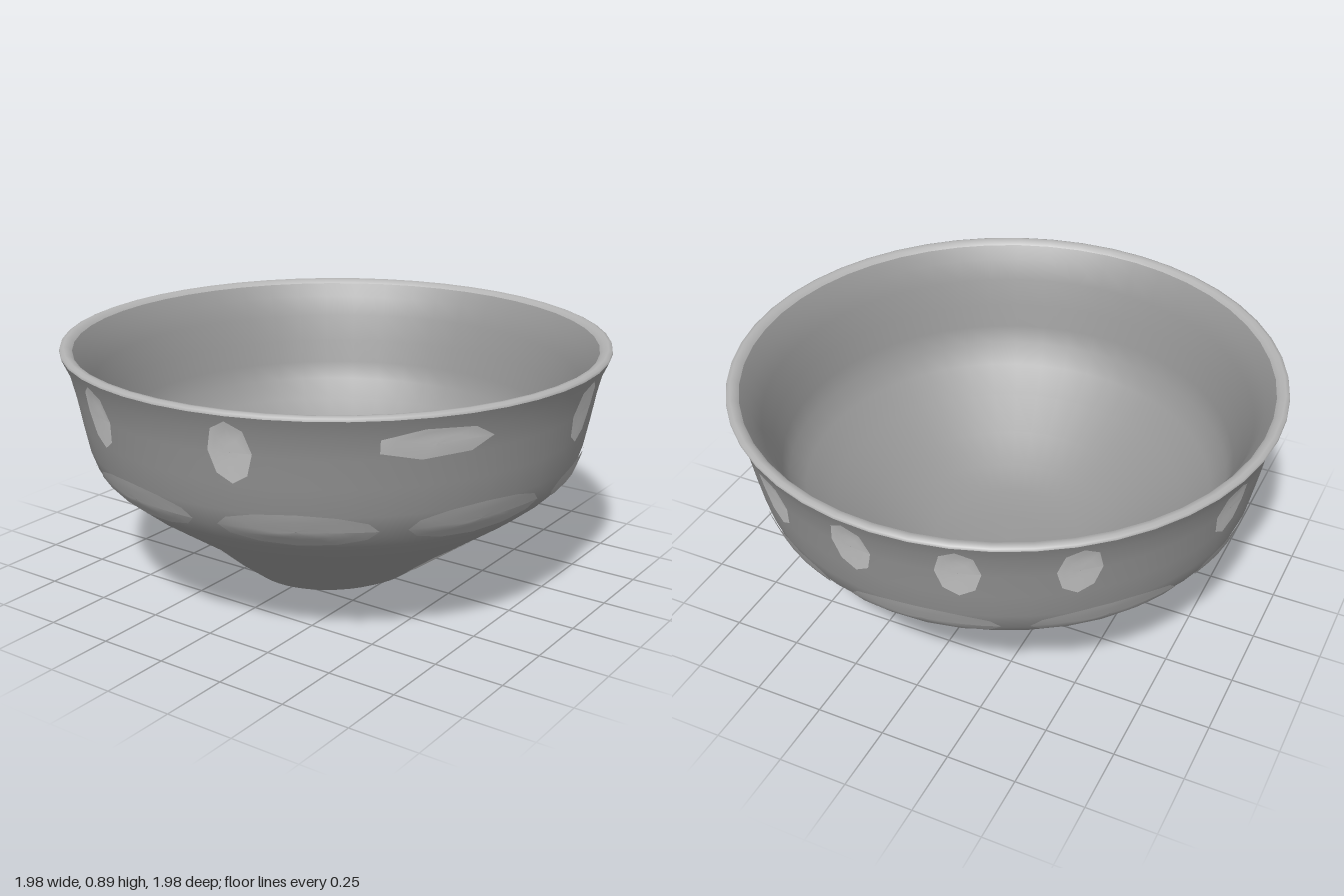
import * as THREE from 'three';

const SEGMENTS = 48;
const DEG = Math.PI / 180;

// Sloping belly turning into a slightly flared wall, as [radius, height]
const OUTER = [
  [0.31, 0.03], [0.4, 0.097], [0.52, 0.185], [0.64, 0.268], [0.75, 0.345], [0.83, 0.41],
  [0.88, 0.47], [0.905, 0.54], [0.925, 0.64], [0.943, 0.74], [0.962, 0.82], [0.99, 0.882],
];

// Turns a profile around the y axis; its right-hand side faces out.
function turned(name, profile, color, deform) {
  const points = profile.map(([r, y]) => new THREE.Vector2(r, y));
  const geometry = new THREE.LatheGeometry(points, SEGMENTS);
  if (deform) {
    const p = geometry.attributes.position;
    for (let i = 0; i < p.count; i++) p.setY(i, deform(p.getX(i), p.getY(i), p.getZ(i)));
  }
  const mesh = new THREE.Mesh(geometry, new THREE.MeshStandardMaterial({ color }));
  mesh.name = name;
  return mesh;
}

// The worn foot dips to the ground at its back right edge.
function dipFoot(x, y, z) {
  const distance = Math.hypot(x + 0.2, z + 0.23);
  return y < 0.1 ? y - 0.03 * Math.max(0, 1 - distance / 0.5) : y;
}

// Radius of the outside at a given height
function outerRadius(y) {
  const i = Math.max(1, OUTER.findIndex((point) => point[1] >= y));
  const [r0, y0] = OUTER[i - 1];
  const [r1, y1] = OUTER[i];
  return r0 + (r1 - r0) * (y - y0) / (y1 - y0);
}

// A thin chipped patch wrapped onto the outside; angle 0 faces the front.
function patch(name, angle, y, halfAngle, halfHeight, sides, color) {
  const geometry = new THREE.RingGeometry(0.01, 1, sides, 4);
  const p = geometry.attributes.position;
  for (let i = 0; i < p.count; i++) {
    const a = (angle + p.getX(i) * halfAngle) * DEG;
    const h = y + p.getY(i) * halfHeight;
    const r = outerRadius(h) + 0.006;
    p.setXYZ(i, r * Math.sin(a), h, r * Math.cos(a));
  }
  geometry.computeVertexNormals();
  const mesh = new THREE.Mesh(geometry, new THREE.MeshStandardMaterial({ color }));
  mesh.name = name;
  return mesh;
}

export function createModel() {
  const bowl = new THREE.Group();
  bowl.name = 'bowl';
  const base = 0x969696;
  const pale = 0xc4c4c4;

  // Flat underside and outside
  bowl.add(turned('foot', [[0, 0.03], [0.15, 0.03], [0.31, 0.03]], base, dipFoot));
  bowl.add(turned('outerWall', OUTER, base, dipFoot));

  // Thin rounded lip
  bowl.add(turned('rim', [
    [0.99, 0.882], [0.988, 0.891], [0.975, 0.896], [0.958, 0.893], [0.945, 0.88],
  ], 0xb4b4b4));

  // Inside wall and dished floor
  bowl.add(turned('innerWall', [
    [0.945, 0.88], [0.91, 0.83], [0.88, 0.76], [0.85, 0.66], [0.825, 0.57], [0.805, 0.5],
    [0.75, 0.43], [0.65, 0.345], [0.52, 0.25], [0.4, 0.175], [0.28, 0.125], [0.14, 0.105], [0, 0.1],
  ], base));

  // Ring of broad scallops where the belly meets the wall
  for (let i = 0; i < 9; i++) {
    bowl.add(patch('scallop', 17 + i * 40, 0.485, 17, 0.065, 12, 0xa8a8a8));
  }

  // Upright pale chips under the rim
  for (const angle of [5, 62, 84, 106, 129, 165, 195, 222, 250, 285]) {
    bowl.add(patch('rimChip', angle, 0.755, 4.5, 0.11, 8, pale));
  }
  bowl.add(patch('wideRimChip', -36, 0.79, 12, 0.055, 7, pale));

  // Pale chips above the foot
  for (const angle of [-6, 102, 200, 245]) {
    bowl.add(patch('footChip', angle, 0.155, 14, 0.09, 5, pale));
  }

  return bowl;
}
